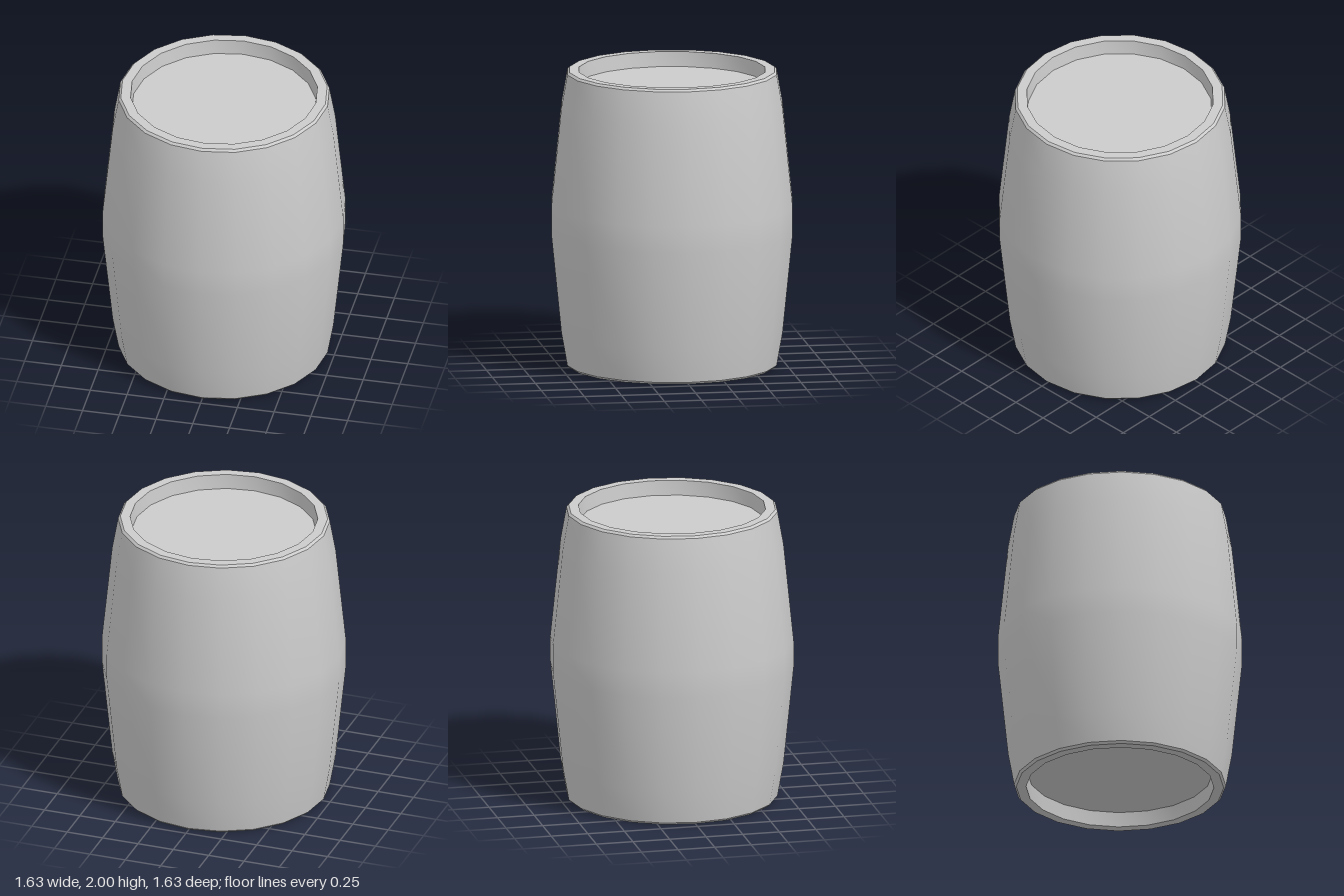
import * as THREE from 'three';
import { toCreasedNormals } from 'three/addons/utils/BufferGeometryUtils.js';

const SIDES = 20;

export function createModel() {
  const barrel = new THREE.Group();
  barrel.name = 'barrel';
  const material = new THREE.MeshStandardMaterial({ color: 0xcccccc });

  // Lower half of the wall: recess, flat rim, small bevel, bulging side
  const lower = [[0.615, 0.1], [0.625, 0], [0.69, 0], [0.705, 0.015], [0.745, 0.24], [0.813, 0.91]];
  const upper = lower.map(([r, y]) => [r, 2 - y]).reverse();
  const profile = [...lower, ...upper].map(([r, y]) => new THREE.Vector2(r, y));
  const wall = new THREE.Mesh(toCreasedNormals(new THREE.LatheGeometry(profile, SIDES), 0.6), material);
  wall.name = 'barrelWall';
  barrel.add(wall);

  // Sunken flat heads at both ends
  for (const [name, y, tilt] of [['topHead', 1.9, -1], ['bottomHead', 0.1, 1]]) {
    const head = new THREE.Mesh(new THREE.CircleGeometry(0.615, SIDES), material);
    head.name = name;
    head.rotation.x = tilt * Math.PI / 2;
    head.position.y = y;
    barrel.add(head);
  }
  return barrel;
}
